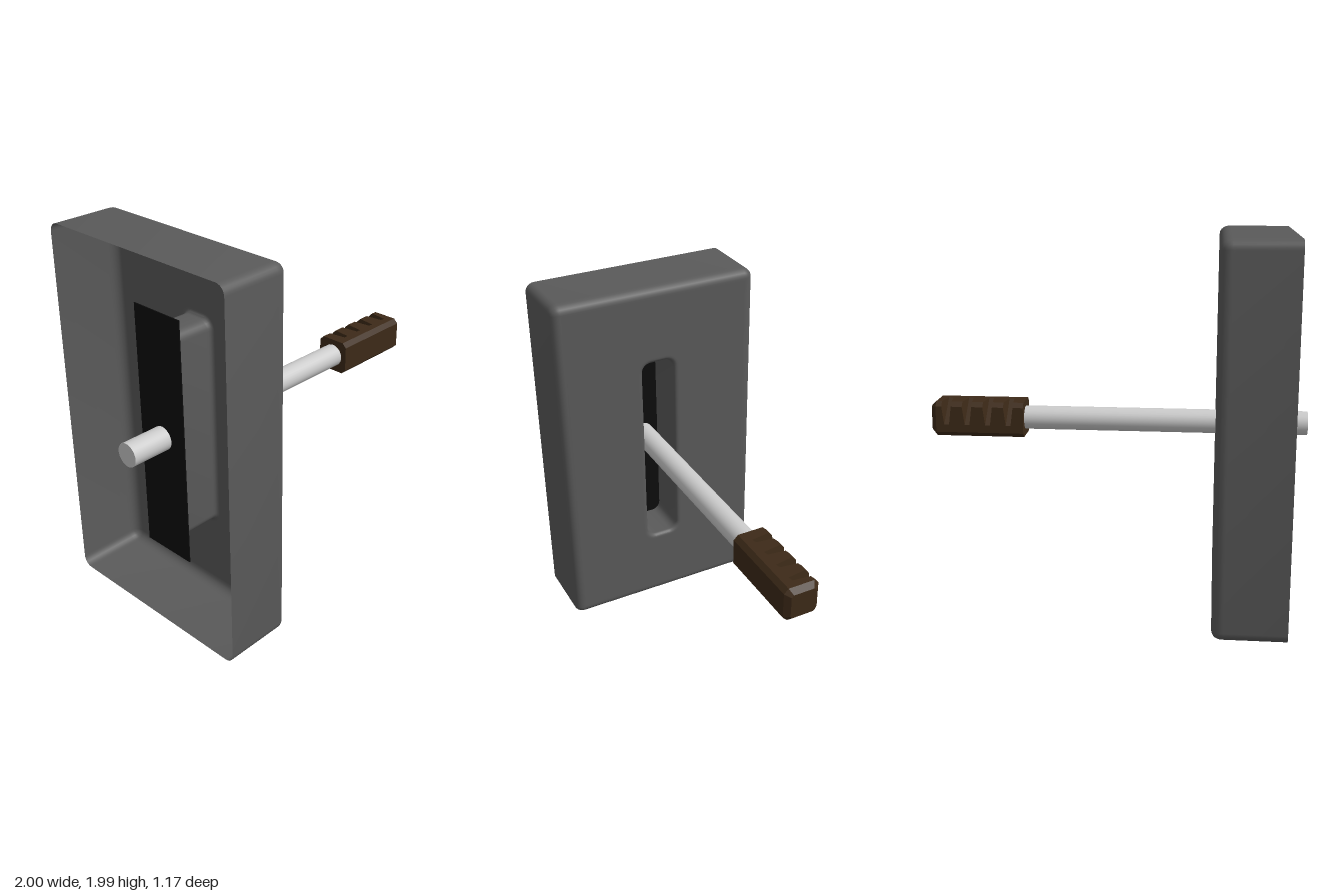
import * as THREE from 'three';
import { toCreasedNormals } from 'three/addons/utils/BufferGeometryUtils.js';

const MID = 0.995; // height of the centre line

// Rounded rectangle in the yz plane at x, counter-clockwise seen from +x
function roundedRing(x, halfY, halfZ, r, steps = 6) {
  const ring = [];
  const corners = [[1, -1], [1, 1], [-1, 1], [-1, -1]];
  corners.forEach(([sy, sz], c) => {
    for (let i = 0; i <= steps; i++) {
      const a = (c + i / steps) * Math.PI / 2;
      ring.push([x, sy * (halfY - r) + r * Math.sin(a), sz * (halfZ - r) - r * Math.cos(a)]);
    }
  });
  return ring;
}

// Octagonal section of the grip; "cut" deepens the chamfer of its upper back edge
function gripRing(x, h, c, cut) {
  return [
    [x, -h + c, -h], [x, h - cut, -h], [x, h, -h + cut], [x, h, h - c],
    [x, h - c, h], [x, -h + c, h], [x, -h, h - c], [x, -h, -h + c],
  ];
}

// Skin a list of equal rings, optionally closing both ends
function loft(rings, capped) {
  const n = rings[0].length;
  const index = [];
  for (let i = 0; i < rings.length - 1; i++) {
    for (let j = 0; j < n; j++) {
      const a = i * n + j, b = i * n + (j + 1) % n;
      index.push(a, b, a + n, b, b + n, a + n);
    }
  }
  if (capped) {
    const last = (rings.length - 1) * n;
    for (let j = 1; j < n - 1; j++) {
      index.push(0, j + 1, j, last, last + j, last + j + 1);
    }
  }
  const geo = new THREE.BufferGeometry();
  geo.setAttribute('position', new THREE.Float32BufferAttribute(rings.flat(2), 3));
  geo.setIndex(index);
  return geo;
}

export function createModel() {
  const model = new THREE.Group();
  const add = (name, geo, material, x = 0) => {
    const mesh = new THREE.Mesh(geo, material);
    mesh.name = name;
    mesh.position.set(x, MID, 0);
    model.add(mesh);
    return mesh;
  };

  // Open-backed housing: side walls, rounded front edge, face plate and slot walls
  const H = 0.995, W = 0.585, R = 0.05, front = -0.52;
  const rings = [roundedRing(-0.9, H, W, R), roundedRing(front - R - 0.01, H, W, R)];
  for (let i = 0; i <= 5; i++) {
    const a = i / 5 * Math.PI / 2, inset = (R - 0.004) * (1 - Math.cos(a));
    rings.push(roundedRing(front - R + R * Math.sin(a), H - inset, W - inset, R - inset));
  }
  rings.push(roundedRing(front, H - 0.06, W - 0.06, 0.004));
  const slotY = 0.57, slotZ = 0.095;
  const slot = [[0.03, 0], [0.02, 0], [0.01, 0.003], [0.003, 0.01], [0, 0.02], [0, 0.03], [0, 0.25]];
  for (const [grow, depth] of slot) {
    rings.push(roundedRing(front - depth, slotY + grow, slotZ + grow, 0.05 + grow));
  }
  add('housing', toCreasedNormals(loft(rings, false), 0.6),
    new THREE.MeshStandardMaterial({ color: 0x5a5a5a, side: THREE.DoubleSide }));

  // Dark plate closing the slot from behind
  add('slotBackPlate', new THREE.BoxGeometry(0.006, 1.34, 0.31),
    new THREE.MeshStandardMaterial({ color: 0x0c0c0c }), -0.773);

  // Lever rod through the slot
  const rod = new THREE.CylinderGeometry(0.063, 0.063, 1.55, 32);
  rod.rotateZ(-Math.PI / 2);
  add('leverRod', rod, new THREE.MeshStandardMaterial({ color: 0xcccccc }), -0.225);

  // Grip with four finger notches cut across its upper back edge
  const h = 0.094, c = 0.024, deep = 0.122;
  const grip = [gripRing(0.5, h, c, c)];
  for (let i = 0; i < 4; i++) {
    const x = 0.581 + i * 0.1115;
    grip.push(gripRing(x - 0.026, h, c, c), gripRing(x - 0.013, h, c, deep),
      gripRing(x + 0.013, h, c, deep), gripRing(x + 0.026, h, c, c));
  }
  grip.push(gripRing(0.973, h, c, c), gripRing(1, h - 0.026, 0.012, 0.012));
  add('grip', loft(grip, true).toNonIndexed(),
    new THREE.MeshStandardMaterial({ color: 0x3d2a18, flatShading: true }));
  model.getObjectByName('grip').geometry.computeVertexNormals();

  return model;
}
